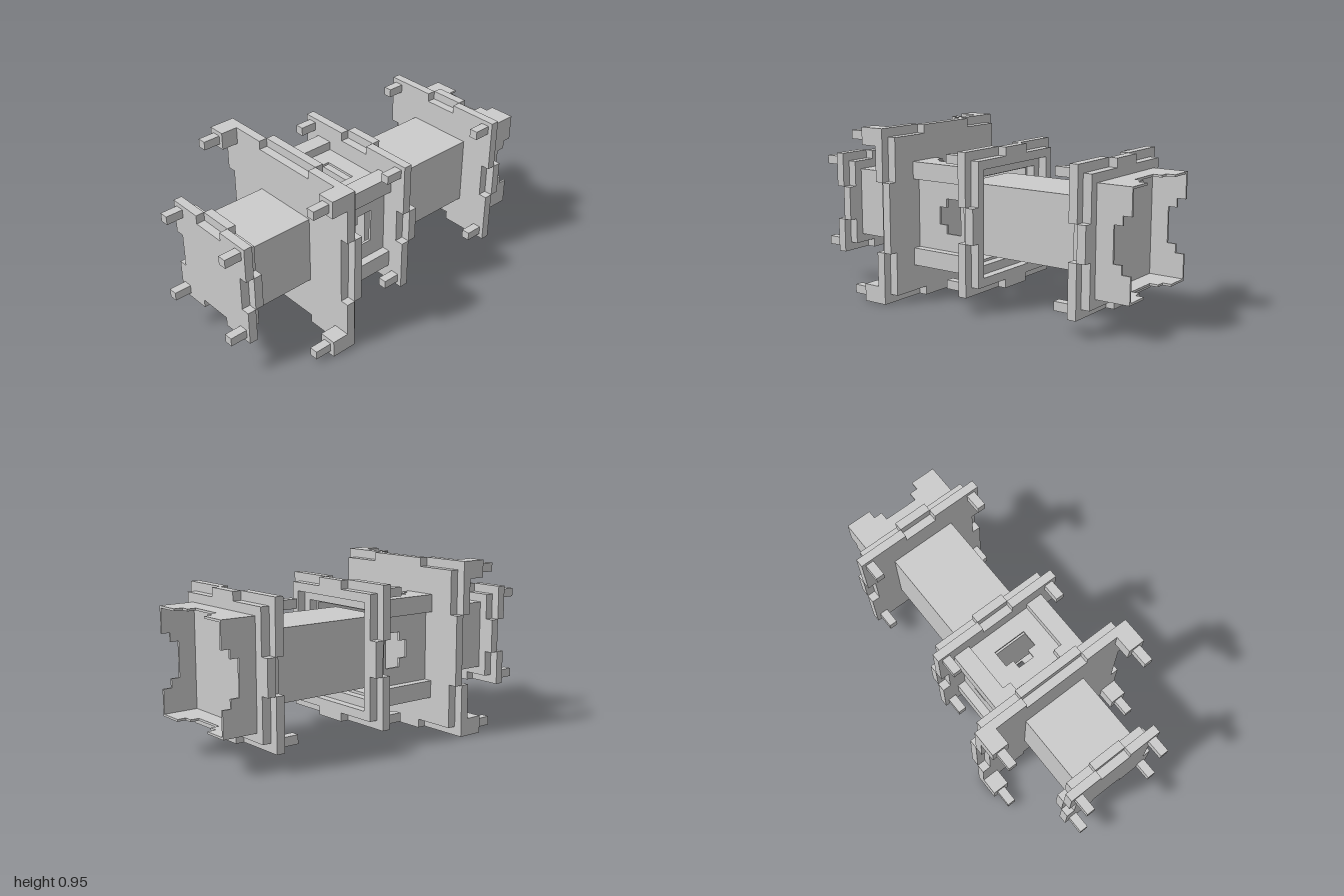
import * as THREE from 'three';

const U = 1 / 21; // one block of the build grid
const mat = new THREE.MeshStandardMaterial({ color: 0xcccccc, flatShading: true, side: THREE.DoubleSide });

export function createModel() {
  const root = new THREE.Group();
  root.name = 'blockTower';
  const body = new THREE.Group();
  body.name = 'body';
  body.scale.setScalar(U);
  body.position.y = 10 * U;
  root.add(body);

  function add(geo, name, parent = body) {
    const m = new THREE.Mesh(geo, mat);
    m.name = name;
    parent.add(m);
    return m;
  }

  const path = (pts, Type = THREE.Shape) => new Type(pts.map(p => new THREE.Vector2(p[0], p[1])));
  const square = h => [[-h, -h], [h, -h], [h, h], [-h, h]];

  function slab(pts, hole, depth) {
    const s = path(pts);
    if (hole) s.holes.push(path(hole, THREE.Path));
    return new THREE.ExtrudeGeometry(s, { depth, bevelEnabled: false });
  }

  // Repeats one side's outline points around the four sides
  function fourSides(pts) {
    const out = [];
    for (let k = 0; k < 4; k++) {
      for (const [x, y] of pts) {
        out.push([[x, y], [-y, x], [-x, -y], [y, -x]][k]);
      }
    }
    return out;
  }

  function beam(h, z0, z1, name) {
    add(new THREE.BoxGeometry(2 * h, 2 * h, z1 - z0), name).position.z = (z0 + z1) / 2;
  }

  // Two-layer plate: notched front layer, inset back layer with matching tabs
  function plate(h, z, w, name, holeFront, holeBack) {
    const g = new THREE.Group();
    g.name = name;
    g.position.z = z;
    body.add(g);
    const i = h - 1;
    const notched = fourSides([[-h, -h], [-w, -h], [-w, -i], [w, -i], [w, -h]]);
    const tabbed = fourSides([[-i, -i], [-w, -i], [-w, -h], [w, -h], [w, -i]]);
    add(slab(notched, holeFront && square(holeFront), 1), 'notchedLayer', g).position.z = 1;
    add(slab(tabbed, holeBack && square(holeBack), 1), 'tabbedLayer', g);
  }

  // Square blocks at the four corners
  function corners(c, size, z0, z1, name) {
    for (const x of [-c, c]) {
      for (const y of [-c, c]) {
        add(new THREE.BoxGeometry(size, size, z1 - z0), name).position.set(x, y, (z0 + z1) / 2);
      }
    }
  }

  // Wall panel with outline in x and z, turned to one of the four sides
  function wall(pts, hole, h, t, side, name) {
    const geo = slab(pts, hole, t).rotateX(Math.PI / 2).translate(0, h, 0);
    add(geo.rotateZ(side * Math.PI / 2), name);
  }

  // Front end
  plate(6, 17, 2, 'frontPlate');
  corners(5, 1, 19, 21, 'frontPeg');
  beam(4, 9, 17, 'frontBeam');

  // Large plate with stepped corner pegs
  plate(10, 7, 4, 'largePlate');
  corners(9, 2, 9, 11, 'cornerBlock');
  corners(9, 1, 11, 13, 'cornerPeg');

  // Hollow middle box: outer frame with wide openings, inner liner with windows
  const steppedOpening = [[-6, -1], [-4, -1], [-4, 5], [-3, 5], [-3, 6], [-2, 6], [-2, 7],
    [-6, 7]];
  const strip = [[-6, -1], [-4, -1], [-4, 7], [-6, 7]];
  const windowHole = [[-2, 1], [2, 1], [2, 3], [1, 3], [1, 4], [-1, 4], [-1, 3], [-2, 3]];
  for (let k = 0; k < 4; k++) {
    const half = k % 2 ? strip : steppedOpening;
    wall(half, null, 6, 1, k, 'frameWall');
    wall(half.map(([x, z]) => [-x, z]), null, 6, 1, k, 'frameWall');
    wall([[-5, -1], [5, -1], [5, 7], [-5, 7]], windowHole, 5, 0.3, k, 'linerWall');
  }

  // Middle plate, open in the centre around the rear beam
  plate(8, -3, 2, 'middlePlate', 5, 6);
  corners(7, 1, -1, 1, 'middlePeg');
  beam(4, -15, 1, 'rearBeam');

  // Rear end with an open cup
  plate(8, -17, 2, 'rearPlate');
  corners(7, 1, -15, -13, 'rearPeg');
  const cup = [[-6, -17], [-6, -21], [-3, -21], [-3, -20], [-2, -20], [-2, -19],
    [2, -19], [2, -20], [3, -20], [3, -21], [6, -21], [6, -17]];
  for (let k = 0; k < 4; k++) wall(cup, null, 6, 0.25, k, 'cupWall');

  return root;
}
